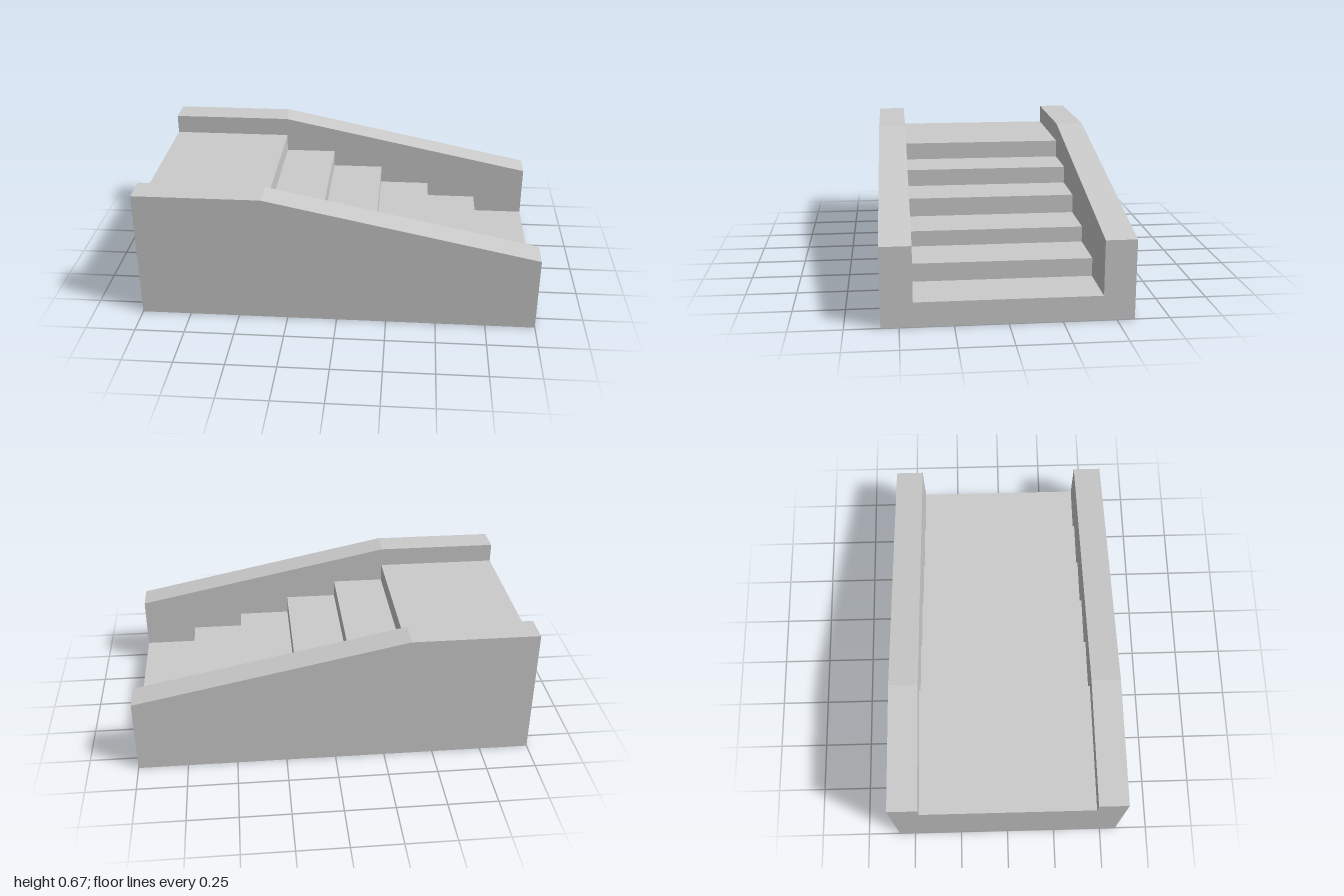
import * as THREE from 'three';

const HALF_WIDTH = 0.584; // outer face of the side walls
const INNER = 0.436; // inner face of the side walls

// Extrudes an (x, y) profile along z between z0 and z1
function slab(name, points, z0, z1, material) {
  const shape = new THREE.Shape(points.map(([x, y]) => new THREE.Vector2(x, y)));
  const geometry = new THREE.ExtrudeGeometry(shape, { depth: z1 - z0, bevelEnabled: false });
  geometry.translate(0, 0, z0);
  const mesh = new THREE.Mesh(geometry, material);
  mesh.name = name;
  return mesh;
}

export function createModel() {
  const group = new THREE.Group();
  group.name = 'staircase';
  const material = new THREE.MeshStandardMaterial({ color: 0xcccccc, flatShading: true });

  // Stair flight: landing at -x, then treads descending towards +x
  const edges = [-0.365, -0.092, 0.181, 0.454, 0.724, 1];
  const heights = [0.567, 0.474, 0.384, 0.288, 0.209, 0.119];
  const profile = [[1, 0]];
  for (let i = edges.length - 1; i >= 0; i--) {
    profile.push([edges[i], heights[i]]);
    if (i > 0) profile.push([edges[i - 1], heights[i]]);
  }
  profile.push([-1, heights[0]], [-1, 0]);
  group.add(slab('stairs', profile, -INNER, INNER, material));

  // Side walls: level beside the landing, sloping down along the steps
  const wall = [[-1, 0], [1, 0], [1, 0.384], [-0.365, 0.667], [-1, 0.667]];
  group.add(slab('leftSideWall', wall, INNER, HALF_WIDTH, material));
  group.add(slab('rightSideWall', wall, -HALF_WIDTH, -INNER, material));

  return group;
}
